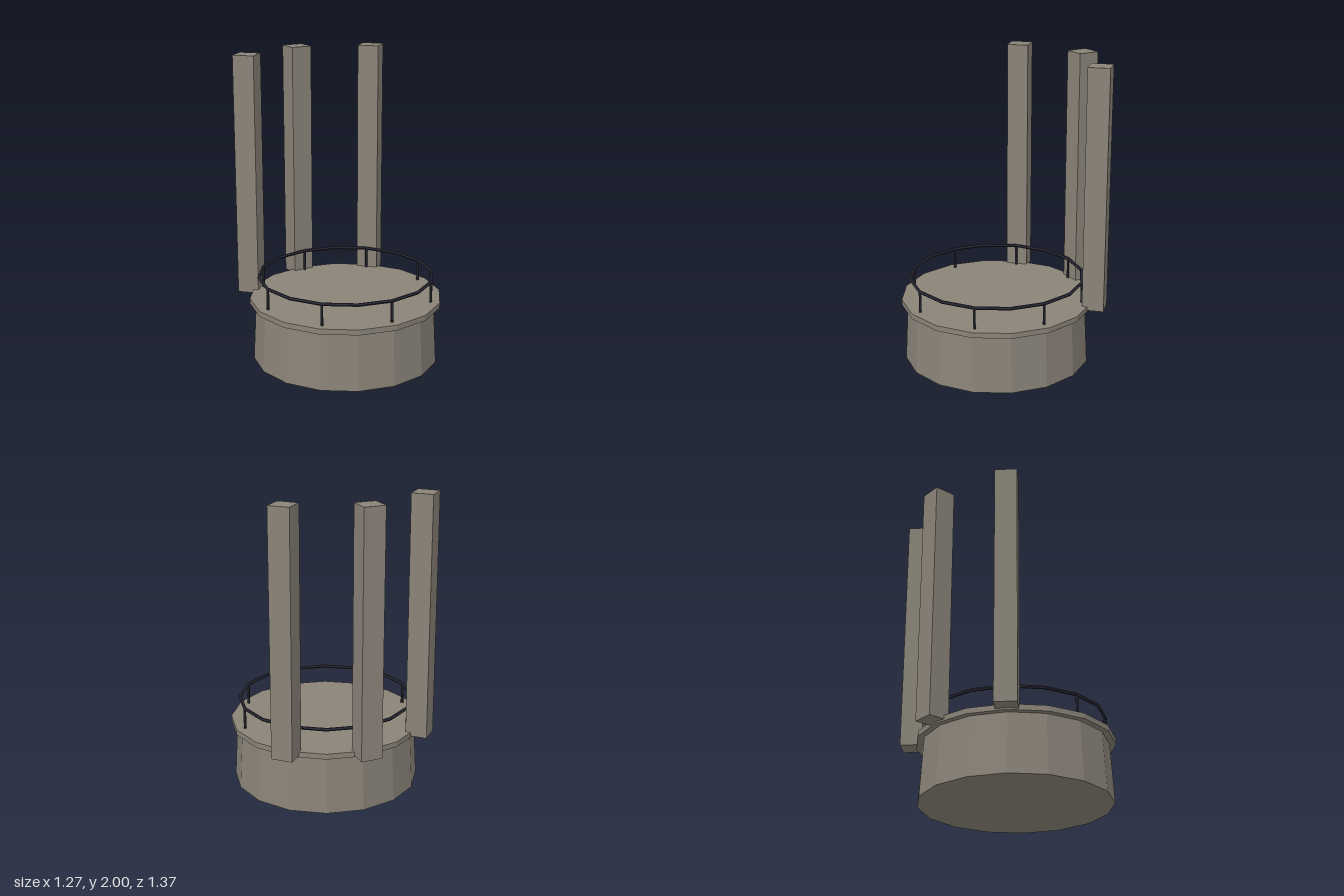
import * as THREE from 'three';

export function createModel() {
  const root = new THREE.Group();
  root.name = 'columnPlatform';
  const stone = new THREE.MeshStandardMaterial({ color: 0x8a8378, flatShading: true });
  stone.name = 'stone';
  const iron = new THREE.MeshStandardMaterial({ color: 0x2d2d3a, flatShading: true });
  iron.name = 'dark iron';

  const SIDES = 16;
  const CENTRE_Z = 0.045; // the drum sits slightly forward of the columns

  const add = (name, geometry, material, x, y, z) => {
    const mesh = new THREE.Mesh(geometry, material);
    mesh.name = name;
    mesh.position.set(x, y, z);
    root.add(mesh);
    return mesh;
  };

  // Tapered drum and overhanging deck
  add('drum', new THREE.CylinderGeometry(0.597, 0.618, 0.386, SIDES), stone, 0, 0.193, CENTRE_Z);
  add('deck', new THREE.CylinderGeometry(0.637, 0.637, 0.036, SIDES), stone, 0, 0.403, CENTRE_Z);

  // Railing: faceted ring on eight posts
  const railRadius = 0.576;
  const ring = new THREE.TorusGeometry(railRadius, 0.011, 6, SIDES).rotateX(Math.PI / 2);
  add('railRing', ring, iron, 0, 0.561, CENTRE_Z);
  const post = new THREE.CylinderGeometry(0.009, 0.009, 0.142, 6);
  for (let i = 0; i < 8; i++) {
    const a = (i * Math.PI) / 4;
    add('railPost', post, iron, railRadius * Math.sin(a), 0.49, CENTRE_Z + railRadius * Math.cos(a));
  }

  // Three square columns around the back edge, each facing the centre
  const column = new THREE.BoxGeometry(0.142, 1.604, 0.142);
  for (const a of [-Math.PI / 4, 0, Math.PI / 4]) {
    const mesh = add('column', column, stone, 0.661 * Math.sin(a), 1.198, CENTRE_Z - 0.661 * Math.cos(a));
    mesh.rotation.y = -a;
  }

  return root;
}
